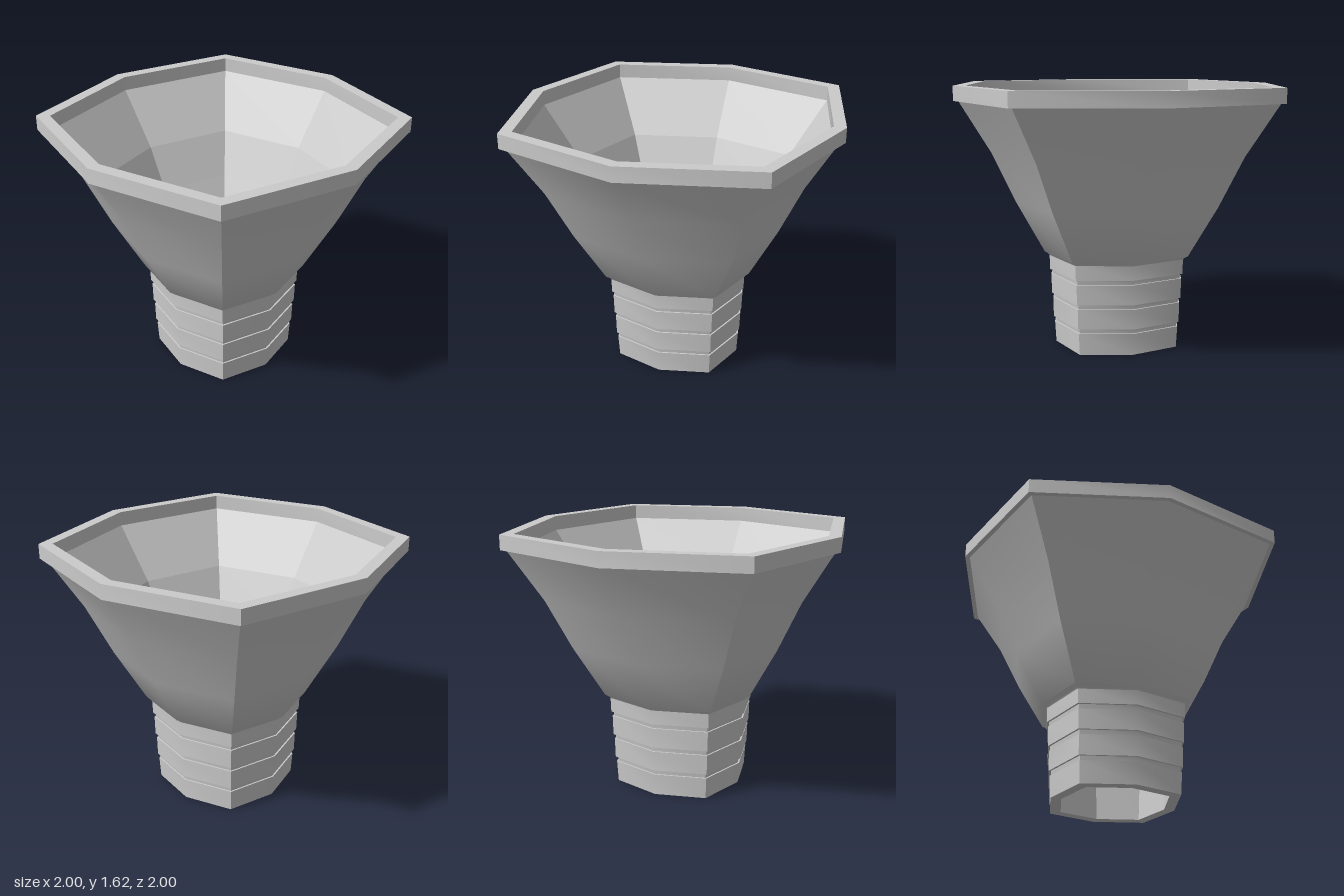
import * as THREE from 'three';
import { toCreasedNormals } from 'three/addons/utils/BufferGeometryUtils.js';

const DIAGONAL = 1.112; // the four diagonal corners sit further out than the axis corners

// Eight-sided ring surface from a [radius, height] profile
function ringMesh(name, profile, flat = false) {
  const lathe = new THREE.LatheGeometry(profile.map(([r, y]) => new THREE.Vector2(r, y)), 8);
  const pos = lathe.attributes.position;
  for (let i = 0; i < pos.count; i++) {
    const side = Math.floor(i / profile.length);
    if (side % 2) pos.setXYZ(i, pos.getX(i) * DIAGONAL, pos.getY(i), pos.getZ(i) * DIAGONAL);
  }
  const geometry = flat ? lathe.toNonIndexed() : toCreasedNormals(lathe, 0.8);
  if (flat) geometry.computeVertexNormals();
  const mesh = new THREE.Mesh(geometry, new THREE.MeshStandardMaterial({ color: 0xcccccc, flatShading: flat }));
  mesh.name = name;
  return mesh;
}

export function createModel() {
  const group = new THREE.Group();
  group.name = 'funnel';

  // Neck: slightly flaring bands split by three shallow grooves
  const neck = [[0.325, 0], [0.392, 0]];
  for (let i = 0; i < 3; i++) {
    const y = 0.135 + i * 0.155;
    const r = 0.4 + i * 0.01;
    neck.push([r, y], [r - 0.01, y], [r - 0.006, y + 0.03], [r + 0.007, y + 0.03]);
  }
  neck.push([0.43, 0.565]);
  group.add(ringMesh('neck', neck));

  // Flared outer wall
  group.add(ringMesh('outerWall', [
    [0.43, 0.565], [0.437, 0.575], [0.46, 0.59], [0.635, 0.91], [0.78, 1.22], [0.97, 1.535],
  ]));

  // Upright rim with a flat top
  group.add(ringMesh('rim', [
    [0.97, 1.535], [1, 1.535], [1, 1.625], [0.925, 1.625], [0.925, 1.535],
  ]));

  // Faceted inside wall, down through the neck
  group.add(ringMesh('innerWall', [
    [0.925, 1.535], [0.69, 1.2], [0.56, 0.93], [0.395, 0.61], [0.37, 0.57], [0.325, 0],
  ], true));

  return group;
}
